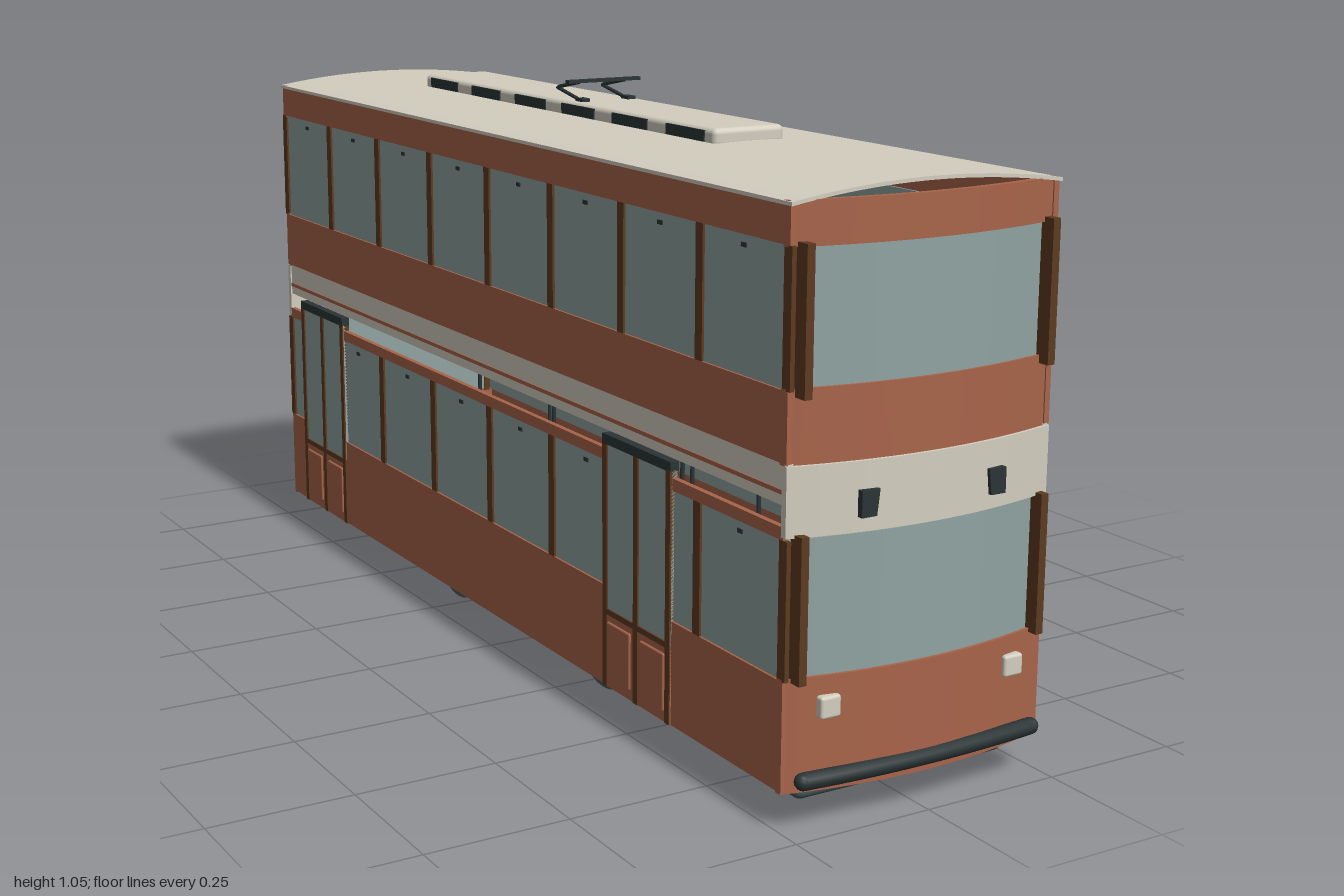
import * as THREE from 'three';
import { RoundedBoxGeometry } from 'three/addons/geometries/RoundedBoxGeometry.js';

const mat = (name, color) => Object.assign(new THREE.MeshStandardMaterial({ color }), { name });

export function createModel() {
  const paint = mat('terracotta paint', 0xa8644a);
  const cream = mat('cream paint', 0xd3cebf);
  const glass = mat('window glass', 0x90a3a1);
  const brown = mat('brown frame', 0x5e3b20);
  const dark = mat('dark rubber', 0x2b3436);
  const slate = mat('slate chassis', 0x4b5c5f);
  const tail = mat('tail lamp red', 0xa5492f);

  const tram = new THREE.Group();
  tram.name = 'doubleDeckTram';

  const add = (parent, name, geo, material) => {
    const m = new THREE.Mesh(geo, material);
    m.name = name;
    parent.add(m);
    return m;
  };
  // box given by its limits on each axis
  const box = (parent, name, x0, x1, y0, y1, z0, z1, material) => {
    const m = add(parent, name, new THREE.BoxGeometry(x1 - x0, y1 - y0, z1 - z0), material);
    m.position.set((x0 + x1) / 2, (y0 + y1) / 2, (z0 + z1) / 2);
    return m;
  };
  const group = (name) => {
    const g = new THREE.Group();
    g.name = name;
    tram.add(g);
    return g;
  };

  // ---- bowed end walls ----
  const bow = (x) => 0.985 - 0.035 * (x / 0.25) ** 2;
  const band = (parent, name, y0, y1, half, offset, material) => {
    const outer = [], inner = [];
    for (let i = 0; i <= 20; i++) {
      const x = -half + (2 * half * i) / 20;
      outer.push(new THREE.Vector2(x, -(bow(x) + offset)));
      inner.unshift(new THREE.Vector2(x, -(bow(x) + offset - 0.012)));
    }
    const geo = new THREE.ExtrudeGeometry(new THREE.Shape([...outer, ...inner]),
      { depth: y1 - y0, bevelEnabled: false });
    geo.rotateX(-Math.PI / 2);
    geo.translate(0, y0, 0);
    add(parent, name, geo, material);
  };

  const buildEnd = (name, lampMaterial) => {
    const g = group(name);
    band(g, 'lowerEndPanel', 0.062, 0.246, 0.25, 0.003, paint);
    band(g, 'lowerEndWindow', 0.246, 0.463, 0.22, -0.003, glass);
    band(g, 'creamEndBand', 0.467, 0.577, 0.25, 0.006, cream);
    band(g, 'middleEndPanel', 0.577, 0.693, 0.25, 0, paint);
    band(g, 'upperEndWindow', 0.693, 0.902, 0.22, -0.005, glass);
    band(g, 'topEndPanel', 0.902, 0.97, 0.25, 0, paint);

    for (const s of [-1, 1]) {
      for (const [y0, y1] of [[0.24, 0.472], [0.68, 0.91]])
        box(g, 'endPillar', s * 0.229 - 0.007, s * 0.229 + 0.007, y0, y1, 0.945, 0.978, brown);
      const lamp = add(g, 'lamp', new RoundedBoxGeometry(0.037, 0.036, 0.018, 2, 0.005), lampMaterial);
      lamp.position.set(s * 0.177, 0.198, 0.973);
      // small tapered vent on the cream band
      const shape = new THREE.Shape([[0.104, 0.533], [0.137, 0.533], [0.137, 0.491], [0.109, 0.491]]
        .map(([x, y]) => new THREE.Vector2(s * x, y)));
      const vent = add(g, 'endVent', new THREE.ExtrudeGeometry(shape, { depth: 0.013, bevelEnabled: false }), dark);
      vent.position.z = 0.978;
    }

    // bumper bar following the bow
    const pts = [];
    for (let i = 0; i <= 8; i++) {
      const x = -0.222 + (0.444 * i) / 8;
      pts.push(new THREE.Vector3(x, 0.085, 0.986 - 0.012 * (x / 0.22) ** 2));
    }
    add(g, 'bumper', new THREE.TubeGeometry(new THREE.CatmullRomCurve3(pts), 24, 0.014, 12), dark);
    for (const p of [pts[0], pts[8]])
      add(g, 'bumperEnd', new THREE.SphereGeometry(0.014, 12, 8), dark).position.copy(p);
    return g;
  };
  buildEnd('frontEnd', cream);
  buildEnd('backEnd', tail).rotation.y = Math.PI;

  // ---- long side walls ----
  for (const s of [-1, 1]) {
    const g = group(s > 0 ? 'leftSide' : 'rightSide');
    const panel = (name, y0, y1, half, out, material) =>
      box(g, name, s * (out - 0.005) - 0.005, s * (out - 0.005) + 0.005, y0, y1, -half, half, material);
    panel('lowerSidePanel', 0.065, 0.243, 0.955, 0.25, paint);
    panel('lowerSideGlass', 0.243, 0.463, 0.95, 0.246, glass);
    panel('lowerRail', 0.463, 0.483, 0.95, 0.25, paint);
    panel('creamSideBand', 0.515, 0.58, 0.955, 0.247, cream);
    panel('creamBandStripe', 0.532, 0.539, 0.95, 0.249, paint);
    panel('middleSidePanel', 0.58, 0.69, 0.955, 0.25, paint);
    panel('upperSideGlass', 0.69, 0.905, 0.95, 0.246, glass);
    panel('topSidePanel', 0.905, 0.968, 0.955, 0.25, paint);

    // window posts and the little catch above each pane
    for (const [y0, y1] of [[0.243, 0.463], [0.69, 0.905]]) {
      for (let i = 0; i <= 8; i++) {
        const z = 0.95 - i * 0.2375;
        box(g, 'windowPost', s * 0.246 - 0.004, s * 0.246 + 0.004, y0, y1, z - 0.01, z + 0.01, brown);
        if (i < 8)
          box(g, 'windowCatch', s * 0.246 - 0.002, s * 0.246 + 0.002, y1 - 0.02, y1 - 0.013,
            z - 0.126, z - 0.112, dark);
      }
    }
  }

  // ---- two double doors on the right side ----
  for (const [z0, z1] of [[0.424, 0.64], [-0.88, -0.66]]) {
    const g = group('doubleDoor');
    const mid = (z0 + z1) / 2;
    box(g, 'doorPanel', -0.252, -0.238, 0.065, 0.2, z0, z1, paint);
    box(g, 'doorGlass', -0.251, -0.24, 0.2, 0.495, z0, z1, glass);
    box(g, 'doorHeader', -0.254, -0.238, 0.493, 0.51, z0, z1, dark);
    box(g, 'doorSill', -0.254, -0.238, 0.195, 0.205, z0, z1, brown);
    for (const z of [z0 + 0.007, mid, z1 - 0.007])
      box(g, 'doorPost', -0.254, -0.238, 0.065, 0.495, z - 0.007, z + 0.007, brown);
    for (const z of [(z0 + mid) / 2, (z1 + mid) / 2])
      add(g, 'doorKickPanel', new RoundedBoxGeometry(0.008, 0.1, 0.075, 2, 0.003), paint)
        .position.set(-0.252, 0.133, z);
  }

  // ---- arched roof shell ----
  const top = [], under = [];
  for (let i = 0; i <= 24; i++) {
    const x = -0.252 + (0.504 * i) / 24;
    const y = 0.989 - 0.02 * (x / 0.252) ** 2;
    top.push(new THREE.Vector2(x, y));
    under.unshift(new THREE.Vector2(x, y - 0.006));
  }
  const roof = add(tram, 'roof', new THREE.ExtrudeGeometry(new THREE.Shape([...top, ...under]),
    { depth: 1.92, bevelEnabled: false }), cream);
  roof.position.z = -0.96;

  // ---- roof equipment housing with side vents ----
  const housing = group('roofHousing');
  add(housing, 'housingCover', new RoundedBoxGeometry(0.14, 0.032, 1.095, 3, 0.01), cream)
    .position.set(0, 0.996, -0.0725);
  for (const s of [-1, 1])
    for (let i = 0; i < 6; i++) {
      const z = 0.385 - i * 0.183;
      box(housing, 'housingVent', s * 0.07 - 0.002, s * 0.07 + 0.002, 0.988, 1.007, z - 0.06, z + 0.06, dark);
    }

  // ---- current collector ----
  const collector = group('currentCollector');
  const rod = (name, pts, r) => add(collector, name, new THREE.TubeGeometry(
    new THREE.CatmullRomCurve3(pts.map((p) => new THREE.Vector3(...p)), false, 'catmullrom', 0), 16, r, 8), dark);
  for (const s of [-1, 1]) {
    rod('collectorArm', [[s * 0.048, 1.012, -0.005], [s * 0.048, 1.03, -0.1], [s * 0.048, 1.047, -0.01]], 0.0035);
    box(collector, 'collectorFoot', s * 0.048 - 0.008, s * 0.048 + 0.008, 1.008, 1.018, -0.015, 0.01, dark);
  }
  box(collector, 'contactBar', -0.076, 0.076, 1.045, 1.051, -0.017, -0.005, dark);

  // ---- chassis, floors and wheels ----
  add(tram, 'chassis', new RoundedBoxGeometry(0.41, 0.05, 1.87, 4, 0.016), slate).position.y = 0.056;
  box(tram, 'lowerFloor', -0.243, 0.243, 0.064, 0.075, -0.948, 0.948, slate);
  box(tram, 'upperFloor', -0.24, 0.24, 0.525, 0.533, -0.945, 0.945, slate);
  for (const x of [-0.163, 0.163])
    for (const z of [-0.29, 0.29]) {
      const wheel = add(tram, 'wheel', new THREE.CylinderGeometry(0.11, 0.11, 0.025, 32), slate);
      wheel.rotation.z = Math.PI / 2;
      wheel.position.set(x, 0.11, z);
    }

  // grab poles inside the lower deck
  for (const z of [0.4, 0.18, -0.06, -0.37])
    for (const x of [-0.08, 0.08])
      add(tram, 'grabPole', new THREE.CylinderGeometry(0.004, 0.004, 0.455, 8), dark).position.set(x, 0.3, z);

  return tram;
}
